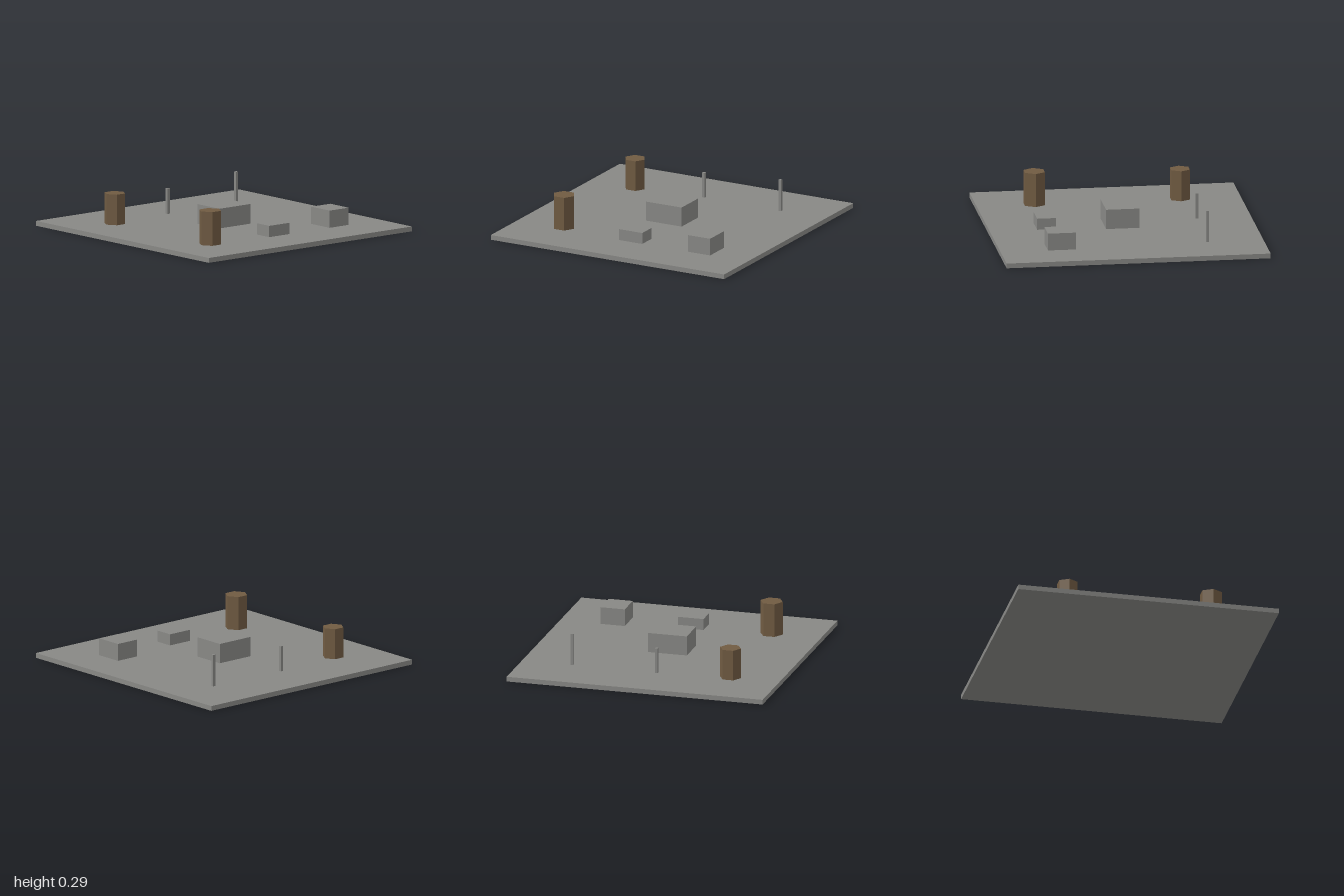
import * as THREE from 'three';

export function createModel() {
  const model = new THREE.Group();
  const stone = new THREE.MeshStandardMaterial({ color: 0x888885 });
  stone.name = 'grey stone';
  const wood = new THREE.MeshStandardMaterial({ color: 0x705b42, flatShading: true });
  wood.name = 'brown wood';

  const floorTop = 0.037;

  // Place a part so that it stands between two heights
  function stand(name, geometry, material, x, z, bottom, top) {
    const mesh = new THREE.Mesh(geometry, material);
    mesh.name = name;
    mesh.position.set(x, (bottom + top) / 2, z);
    model.add(mesh);
  }

  function block(name, x, z, width, depth, top, bottom = floorTop) {
    stand(name, new THREE.BoxGeometry(width, top - bottom, depth), stone, x, z, bottom, top);
  }

  // Six-sided barrel with corners pointing along x
  function barrel(name, x, z, radius, top) {
    const geometry = new THREE.CylinderGeometry(radius, radius, top - floorTop, 6);
    geometry.rotateY(Math.PI / 6);
    stand(name, geometry, wood, x, z, floorTop, top);
  }

  // Floor slab
  block('floorSlab', 0, 0, 2, 2, floorTop, 0);

  // Stone blocks
  block('centreBlock', 0, 0, 0.305, 0.253, 0.187);
  block('frontBlock', 0, 0.571, 0.2, 0.141, 0.123);
  block('frontLeftBlock', 0.588, 0.535, 0.188, 0.214, 0.168);

  // Thin posts
  block('backPost', -0.052, -0.59, 0.022, 0.022, 0.231);
  block('backLeftPost', 0.61, -0.577, 0.022, 0.022, 0.28);

  // Barrels
  barrel('backBarrel', -0.615, -0.54, 0.081, 0.27);
  barrel('frontBarrel', -0.614, 0.563, 0.087, 0.294);

  return model;
}
